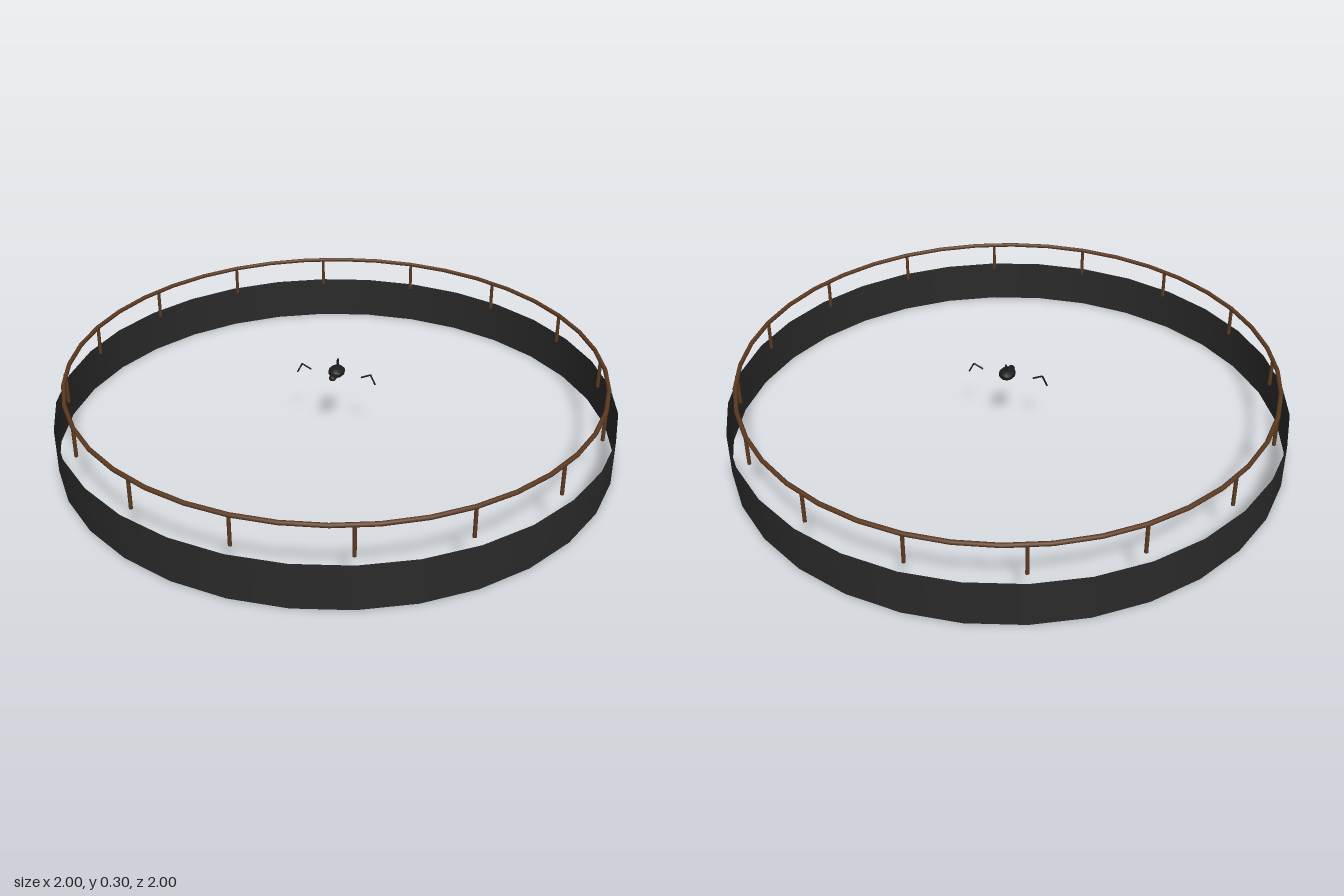
import * as THREE from 'three';

const charcoal = new THREE.MeshStandardMaterial({ name: 'charcoal', color: 0x2a2a2a, side: THREE.DoubleSide });
const brown = new THREE.MeshStandardMaterial({ name: 'woodBrown', color: 0x5c3a21 });
const black = new THREE.MeshStandardMaterial({ name: 'nearBlack', color: 0x1c1c1c });

export function createModel() {
  const model = new THREE.Group();
  model.name = 'railedRing';

  const add = (parent, name, geometry, material, x = 0, y = 0, z = 0) => {
    const mesh = new THREE.Mesh(geometry, material);
    mesh.name = name;
    mesh.position.set(x, y, z);
    parent.add(mesh);
    return mesh;
  };

  // Thin rod between two points
  const rod = (parent, name, a, b, r0, r1, material) => {
    const dir = b.clone().sub(a);
    const mid = a.clone().add(b).multiplyScalar(0.5);
    const mesh = add(parent, name, new THREE.CylinderGeometry(r1, r0, dir.length(), 6), material, mid.x, mid.y, mid.z);
    mesh.quaternion.setFromUnitVectors(new THREE.Vector3(0, 1, 0), dir.normalize());
  };

  // Open outer wall
  add(model, 'wall', new THREE.CylinderGeometry(1, 1, 0.166, 32, 1, true), charcoal, 0, 0.083, 0);

  // Handrail on sixteen posts
  const railRadius = 0.955;
  const rail = add(model, 'handrail', new THREE.TorusGeometry(railRadius, 0.008, 8, 40), brown, 0, 0.277, 0);
  rail.rotation.x = Math.PI / 2;
  const postGeometry = new THREE.CylinderGeometry(0.0065, 0.0065, 0.112, 8);
  for (let i = 0; i < 16; i++) {
    const a = (i / 16) * Math.PI * 2;
    add(model, 'post', postGeometry, brown, Math.cos(a) * railRadius, 0.222, Math.sin(a) * railRadius);
  }

  // Small creature hovering at the centre
  const creature = new THREE.Group();
  creature.name = 'creature';
  model.add(creature);
  const ball = new THREE.SphereGeometry(1, 10, 8);
  add(creature, 'body', ball, black, 0, 0.257, -0.007).scale.set(0.03, 0.02, 0.036);
  add(creature, 'head', ball, black, 0, 0.252, 0.033).scale.set(0.014, 0.011, 0.019);
  rod(creature, 'tail', new THREE.Vector3(0, 0.265, -0.018), new THREE.Vector3(0, 0.3, -0.021), 0.006, 0.004, black);

  // Bent limbs, one on each side
  for (const s of [1, -1]) {
    const inner = new THREE.Vector3(s * 0.094, 0.252, 0);
    const knee = new THREE.Vector3(s * 0.129, 0.268, 0);
    const tip = new THREE.Vector3(s * 0.147, 0.232, 0);
    rod(creature, 'upperLimb', inner, knee, 0.003, 0.003, black);
    rod(creature, 'lowerLimb', knee, tip, 0.003, 0.003, black);
  }
  return model;
}
